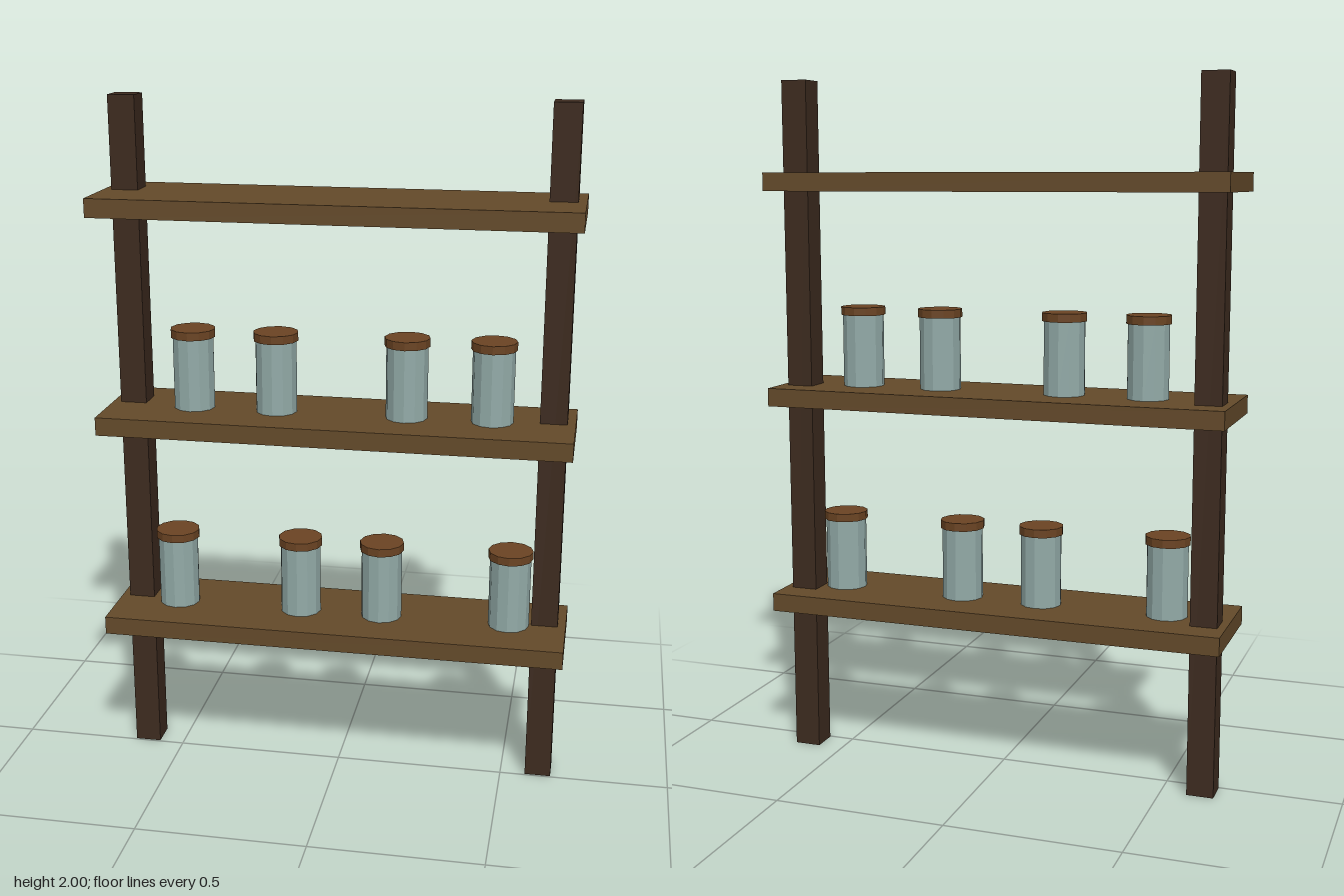
import * as THREE from 'three';

export function createModel() {
  const model = new THREE.Group();
  model.name = 'jarShelf';

  const material = (name, color) => {
    const m = new THREE.MeshStandardMaterial({ color, flatShading: true });
    m.name = name;
    return m;
  };
  const darkWood = material('dark wood', 0x3d2b1f);
  const shelfWood = material('shelf wood', 0x644a2a);
  const lidWood = material('lid brown', 0x6b4423);
  const glass = material('pale glass', 0x93aba8);

  const add = (parent, name, geometry, mat, x, y, z) => {
    const mesh = new THREE.Mesh(geometry, mat);
    mesh.name = name;
    mesh.position.set(x, y, z);
    parent.add(mesh);
  };

  // Two square uprights, set just behind the middle of the shelves
  const postGeometry = new THREE.BoxGeometry(0.077, 2, 0.077);
  add(model, 'leftPost', postGeometry, darkWood, 0.613, 1, -0.043);
  add(model, 'rightPost', postGeometry, darkWood, -0.613, 1, -0.043);

  // Shelves, each with its row of jars
  const thickness = 0.053;
  const bodyHeight = 0.21;
  const lidHeight = 0.024;
  const shelfGeometry = new THREE.BoxGeometry(1.35, thickness, 0.332);
  const bodyGeometry = new THREE.CylinderGeometry(0.06, 0.06, bodyHeight, 12);
  const lidGeometry = new THREE.CylinderGeometry(0.065, 0.065, lidHeight, 12);

  const shelves = [
    { name: 'lowerShelf', top: 0.495, jars: [-0.49, -0.114, 0.13, 0.508] },
    { name: 'middleShelf', top: 1.115, jars: [-0.425, -0.181, 0.197, 0.441] },
    { name: 'upperShelf', top: 1.738, jars: [] },
  ];
  for (const { name, top, jars } of shelves) {
    add(model, name, shelfGeometry, shelfWood, 0, top - thickness / 2, 0);
    for (const x of jars) {
      const jar = new THREE.Group();
      jar.name = 'jar';
      jar.position.set(x, top, 0);
      add(jar, 'jarBody', bodyGeometry, glass, 0, bodyHeight / 2, 0);
      add(jar, 'jarLid', lidGeometry, lidWood, 0, bodyHeight + lidHeight / 2, 0);
      model.add(jar);
    }
  }
  return model;
}
